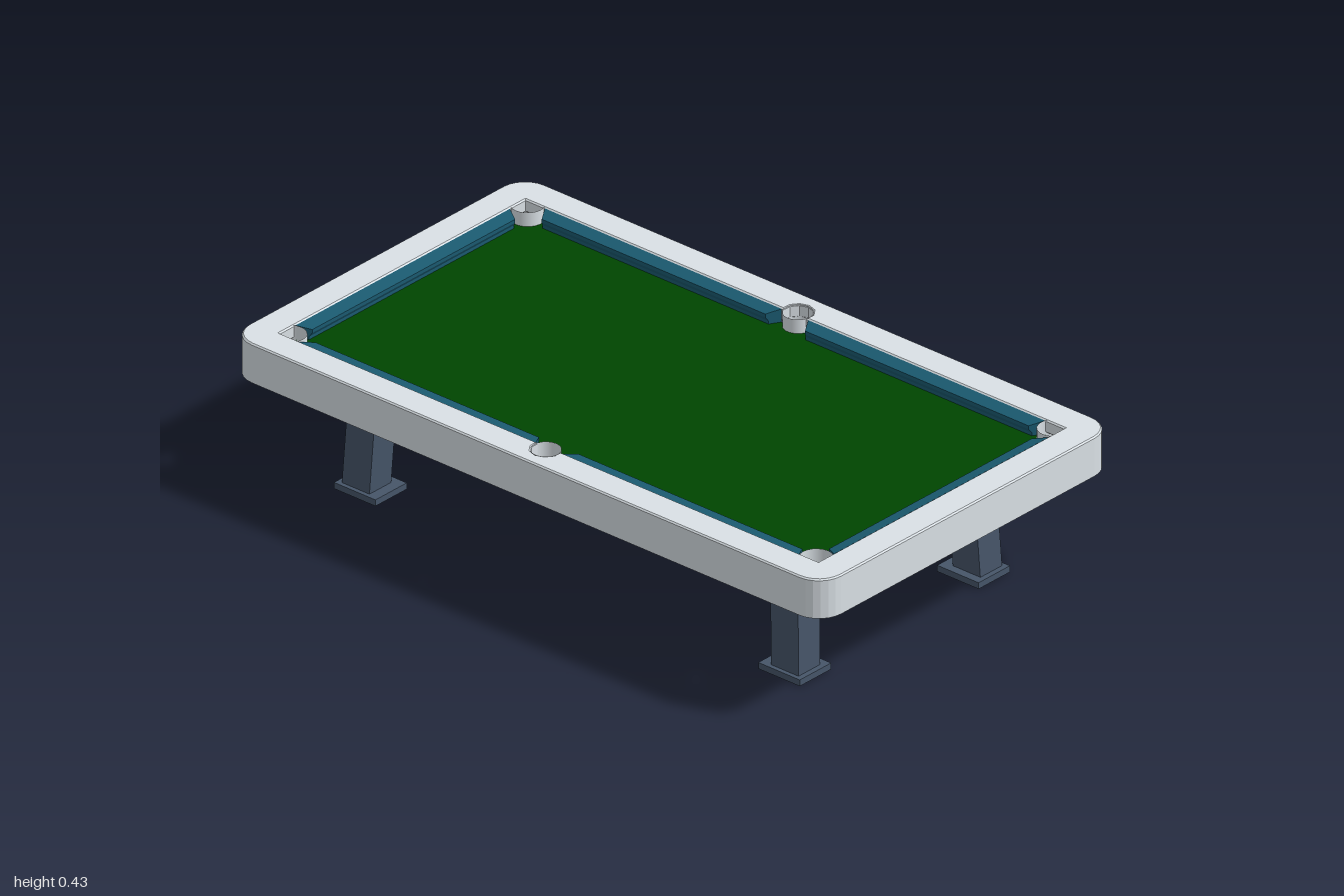
import * as THREE from 'three';

const material = (name, color) => Object.assign(new THREE.MeshStandardMaterial({ color }), { name });
const PI = Math.PI;

// Playing area half sizes and pocket circles
const BX = 0.91, BZ = 0.47;
const CORNER = { x: 0.89, z: 0.455, r: 0.045 };
const MIDDLE = { x: 0, z: 0.482, r: 0.04 };
const MIDDLE_ANGLE = Math.asin((BZ - MIDDLE.z) / MIDDLE.r);

function roundedRect(path, hx, hz, r) {
  path.absarc(hx - r, hz - r, r, 0, PI / 2);
  path.absarc(-hx + r, hz - r, r, PI / 2, PI);
  path.absarc(-hx + r, -hz + r, r, PI, PI * 1.5);
  path.absarc(hx - r, -hz + r, r, PI * 1.5, PI * 2);
  path.closePath();
  return path;
}

// Extrudes a plan shape upward from y0 to y1
function slab(shape, y0, y1, curveSegments, bevel = 0) {
  const g = new THREE.ExtrudeGeometry(shape, {
    depth: y1 - y0 - 2 * bevel, bevelEnabled: bevel > 0, bevelSize: bevel,
    bevelThickness: bevel, bevelOffset: -bevel, bevelSegments: 1, curveSegments,
  });
  return g.rotateX(-PI / 2).translate(0, y0 + bevel, 0);
}

// Cloth bed outline with a bite at each of the six pockets
function bedShape() {
  const s = new THREE.Shape();
  const { x, z, r } = CORNER, m = MIDDLE, c = MIDDLE_ANGLE;
  const a = Math.atan2(-Math.sqrt(r * r - (BX - x) ** 2), BX - x);
  const b = Math.atan2(BZ - z, -Math.sqrt(r * r - (BZ - z) ** 2));
  for (const [k, t] of [[1, 0], [-1, PI]]) {
    s.absarc(k * x, k * z, r, a + t, b + t, true);
    s.absarc(0, k * m.z, m.r, c + t, PI - c + t, true);
    s.absarc(-k * x, k * z, r, PI - b + t, PI - a + t, true);
  }
  s.closePath();
  return s;
}

// Opening in the top rail, widened at the two middle pockets
function openingPath() {
  const p = new THREE.Path();
  const c = MIDDLE_ANGLE;
  p.moveTo(BX, -BZ);
  p.lineTo(BX, BZ);
  p.absarc(0, MIDDLE.z, MIDDLE.r, c, PI - c);
  p.lineTo(-BX, BZ);
  p.lineTo(-BX, -BZ);
  p.absarc(0, -MIDDLE.z, MIDDLE.r, PI + c, 2 * PI - c);
  p.closePath();
  return p;
}

// Cushion prism: runs along z, nose points to +x, ends are mitred
function cushionGeometry(length, miter) {
  const profile = new THREE.Shape(
    [[0, 0.385], [0.03, 0.385], [0.03, 0.401], [0.037, 0.412], [0.037, 0.422], [0, 0.43]]
      .map(([u, v]) => new THREE.Vector2(u, v)));
  const g = new THREE.ExtrudeGeometry(profile, { depth: length, bevelEnabled: false });
  g.translate(0, 0, -length / 2);
  const p = g.attributes.position;
  for (let i = 0; i < p.count; i++) p.setZ(i, p.getZ(i) * (1 - 2 * miter * p.getX(i) / length));
  g.computeVertexNormals();
  return g;
}

export function createModel() {
  const model = new THREE.Group();
  model.name = 'poolTable';
  const grey = material('railGrey', 0xdae1e6);
  grey.side = THREE.DoubleSide;
  const slate = material('slateMetal', 0x465569);
  const green = material('greenCloth', 0x004500);
  const teal = material('tealCushion', 0x1a5a70);

  const add = (name, geometry, mat, x = 0, y = 0, z = 0) => {
    const mesh = new THREE.Mesh(geometry, mat);
    mesh.name = name;
    mesh.position.set(x, y, z);
    model.add(mesh);
    return mesh;
  };
  const box = (name, w, h, d, mat, x, y, z) => add(name, new THREE.BoxGeometry(w, h, d), mat, x, y, z);

  // Hollow outer casing and bevelled top rail
  const wall = roundedRect(new THREE.Shape(), 1, 0.56, 0.075);
  wall.holes.push(roundedRect(new THREE.Path(), 0.985, 0.545, 0.06));
  add('outerCasing', slab(wall, 0.32, 0.425, 3), grey);
  const top = roundedRect(new THREE.Shape(), 1, 0.56, 0.075);
  top.holes.push(openingPath());
  add('topRail', slab(top, 0.395, 0.433, 3, 0.004), grey);

  // Cloth bed
  add('bed', slab(bedShape(), 0.372, 0.392, 8), green);

  // Cushions: two on each long side, one at each end
  const longCushion = cushionGeometry(0.8, 0.6);
  const endCushion = cushionGeometry(0.82, 0.6);
  for (const s of [-1, 1]) {
    add('endCushion', endCushion, teal, s * BX, 0, 0).rotation.y = s > 0 ? PI : 0;
    for (const sx of [-1, 1]) {
      add('sideCushion', longCushion, teal, sx * 0.445, 0, s * BZ).rotation.y = s * PI / 2;
    }
  }

  // Pocket liners
  for (const sz of [-1, 1]) {
    for (const k of [-1, 0, 1]) {
      const q = k ? CORNER : MIDDLE;
      add('pocketLiner', new THREE.CylinderGeometry(q.r, q.r, 0.06, 20, 1, true), grey,
        k * q.x, 0.402, sz * q.z);
    }
  }

  // Under-rail beams, leaving gaps at the pockets
  for (const s of [-1, 1]) {
    for (const sx of [-1, 1]) box('sideBeam', 0.79, 0.06, 0.085, slate, sx * 0.445, 0.352, s * 0.5025);
    box('endBeam', 0.09, 0.06, 0.81, slate, s * 0.94, 0.352, 0);
  }

  // Splayed legs with feet and mounting plates
  for (const sx of [-1, 1]) {
    for (const sz of [-1, 1]) {
      const leg = new THREE.BoxGeometry(0.093, 0.314, 0.083);
      const p = leg.attributes.position;
      for (let i = 0; i < p.count; i++) {
        const lean = p.getY(i) < 0 ? 0.007 : -0.007;
        p.setX(i, p.getX(i) + sx * lean);
        p.setZ(i, p.getZ(i) + sz * lean);
      }
      leg.computeVertexNormals();
      add('leg', leg, slate, sx * 0.718, 0.173, sz * 0.341);
      box('foot', 0.14, 0.018, 0.12, slate, sx * 0.717, 0.009, sz * 0.342);
      box('mountingPlate', 0.13, 0.045, 0.12, grey, sx * 0.711, 0.347, sz * 0.335);
    }
    box('crossStretcher', 0.036, 0.034, 0.51, slate, sx * 0.715, 0.221, 0);
  }

  // Long stretcher
  box('longStretcher', 1.23, 0.042, 0.036, slate, 0, 0.195, 0);

  return model;
}
